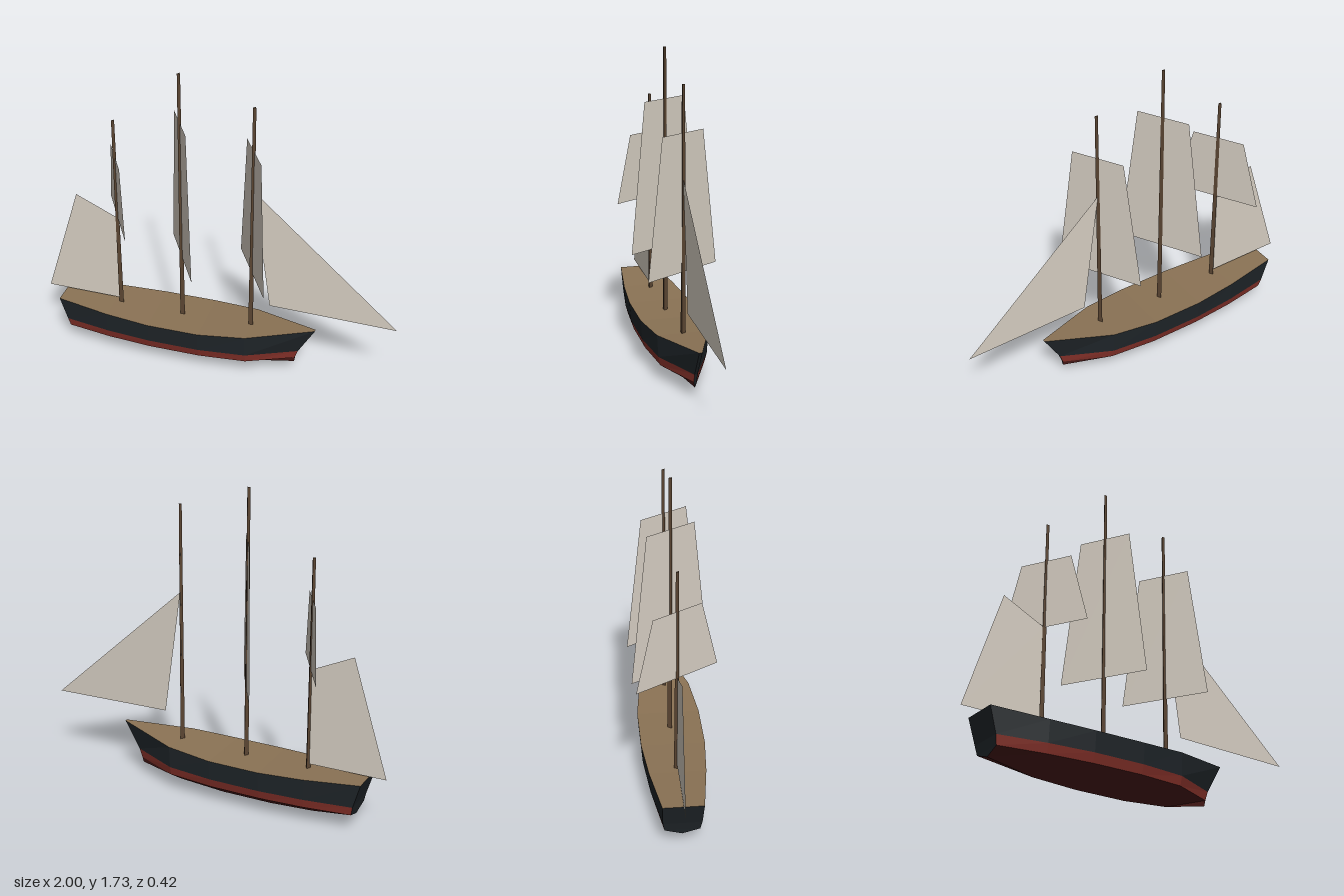
import * as THREE from 'three';

const mat = (color, extra = {}) =>
  new THREE.MeshStandardMaterial({ color, flatShading: true, ...extra });
const black = mat(0x1f2529);
const red = mat(0x8a332b);
const darkRed = mat(0x4e1c1a);
const wood = mat(0x8b7355);
const mastWood = mat(0x5c4633);
const canvas = mat(0xd8d0c4, { side: THREE.DoubleSide });

// Hull stations, stern to bow: deck height, deck half-width, keel height,
// and x at the deck, band top, band bottom and keel
const STATIONS = [
  { deck: 0.285, half: 0.105, keel: 0.07, x: [-0.9, -0.86, -0.85, -0.845] },
  { deck: 0.268, half: 0.148, keel: 0.02, x: [-0.6, -0.6, -0.6, -0.595] },
  { deck: 0.26, half: 0.17, keel: 0.005, x: [-0.35, -0.35, -0.35, -0.35] },
  { deck: 0.26, half: 0.17, keel: 0.003, x: [-0.06, -0.06, -0.06, -0.06] },
  { deck: 0.273, half: 0.14, keel: 0.02, x: [0.2, 0.2, 0.2, 0.2] },
  { deck: 0.305, half: 0.008, keel: 0.07, x: [0.56, 0.47, 0.453, 0.45] },
];
const WIDTH = [1, 0.95, 0.86, 0];

// Point on the hull at a station, level (0 deck .. 3 keel) and side (+1 / -1)
function hullPoint(i, level, side) {
  const s = STATIONS[i];
  const y = [s.deck, 0.15, 0.1, s.keel][level];
  return [s.x[level], y, side * s.half * WIDTH[level]];
}

// Mesh from quads whose corners run counter-clockwise seen from outside
function quadMesh(name, quads, material) {
  const pos = quads.flatMap(([a, b, c, d]) => [a, b, c, a, c, d].flat());
  const geo = new THREE.BufferGeometry();
  geo.setAttribute('position', new THREE.Float32BufferAttribute(pos, 3));
  geo.computeVertexNormals();
  const mesh = new THREE.Mesh(geo, material);
  mesh.name = name;
  return mesh;
}

// Planking between two levels on both sides of the hull
function hullStrake(name, upper, lower, material) {
  const quads = [];
  for (let i = 0; i < STATIONS.length - 1; i++) {
    for (const side of [1, -1]) {
      const quad = [
        hullPoint(i, lower, side), hullPoint(i + 1, lower, side),
        hullPoint(i + 1, upper, side), hullPoint(i, upper, side),
      ];
      quads.push(side > 0 ? quad : quad.reverse());
    }
  }
  return quadMesh(name, quads, material);
}

// Flat end of the hull: transom (station 0) or stem (last station)
function hullEnd(name, i, dir) {
  const quads = [0, 1, 2].map((k) => [
    hullPoint(i, k + 1, dir), hullPoint(i, k + 1, -dir),
    hullPoint(i, k, -dir), hullPoint(i, k, dir),
  ]);
  return quadMesh(name, quads, black);
}

function deck() {
  const quads = [];
  for (let i = 0; i < STATIONS.length - 1; i++) {
    quads.push([
      hullPoint(i, 0, 1), hullPoint(i + 1, 0, 1),
      hullPoint(i + 1, 0, -1), hullPoint(i, 0, -1),
    ]);
  }
  return quadMesh('deck', quads, wood);
}

// Flat sail from its outline in the xy plane
function sail(name, points) {
  const shape = new THREE.Shape(points.map(([x, y]) => new THREE.Vector2(x, y)));
  const mesh = new THREE.Mesh(new THREE.ShapeGeometry(shape), canvas);
  mesh.name = name;
  return mesh;
}

// Three-sided tapered mast with a square sail braced round at an angle
function mastWithSail(name, x, top, sailTop, sailBottom) {
  const group = new THREE.Group();
  group.name = name;
  group.position.x = x;
  const foot = 0.2;
  const pole = new THREE.Mesh(
    new THREE.CylinderGeometry(0.01, 0.0155, top - foot, 3), mastWood);
  pole.name = name + 'Pole';
  pole.position.y = (top + foot) / 2;
  pole.rotation.y = Math.PI;
  const square = sail(name + 'SquareSail', [
    [-0.245, sailBottom], [0.245, sailBottom], [0.145, sailTop], [-0.145, sailTop],
  ]);
  square.rotation.y = -Math.PI / 3;
  group.add(pole, square);
  return group;
}

export function createModel() {
  const ship = new THREE.Group();
  ship.name = 'sailingShip';

  const hull = new THREE.Group();
  hull.name = 'hull';
  hull.add(
    hullStrake('topsides', 0, 1, black),
    hullStrake('waterlineBand', 1, 2, red),
    hullStrake('bottom', 2, 3, darkRed),
    hullEnd('transom', 0, -1),
    hullEnd('stem', STATIONS.length - 1, 1),
    deck(),
  );

  ship.add(
    hull,
    mastWithSail('mizzenMast', -0.5625, 1.415, 1.2, 0.82),
    mastWithSail('mainMast', -0.1975, 1.73, 1.455, 0.635),
    mastWithSail('foreMast', 0.1975, 1.6, 1.352, 0.612),
    // Fore-and-aft sails on the centreline
    sail('spanker', [[-1, 0.295], [-0.5625, 0.29], [-0.5625, 0.82], [-0.8, 0.93]]),
    sail('jib', [[0.3, 0.417], [1, 0.4], [0.2, 1.12]]),
  );
  return ship;
}
